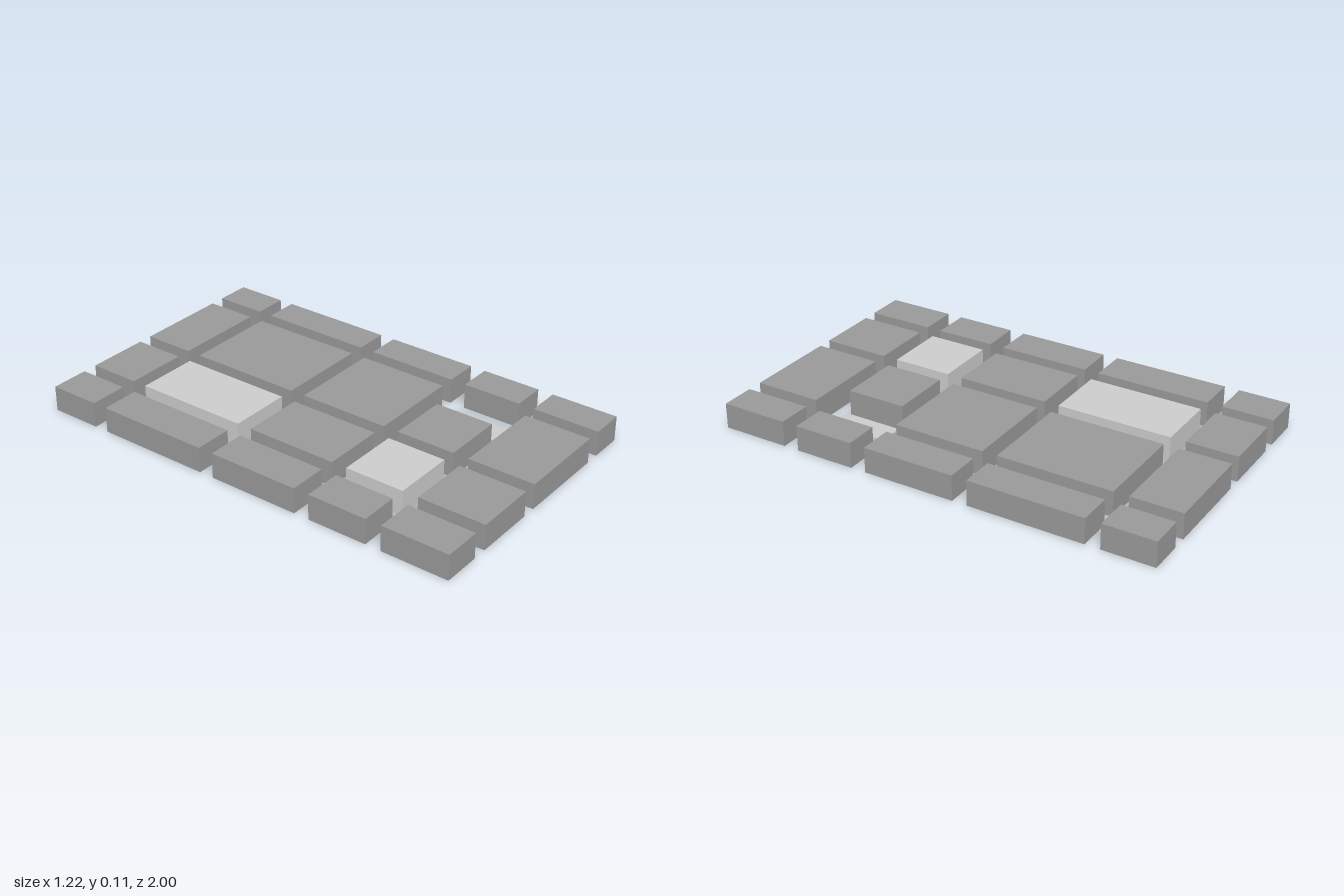
import * as THREE from 'three';

const HEIGHT = 0.113;
const PLATE_HEIGHT = 0.02;

export function createModel() {
  const group = new THREE.Group();
  const dark = new THREE.MeshStandardMaterial({ color: 0x999999 });
  const light = new THREE.MeshStandardMaterial({ color: 0xcccccc });

  // A box standing on the ground, given by its x and z extents
  function addBlock(name, [x0, x1], [z0, z1], material, height = HEIGHT) {
    const block = new THREE.Mesh(new THREE.BoxGeometry(x1 - x0, height, z1 - z0), material);
    block.position.set((x0 + x1) / 2, height / 2, (z0 + z1) / 2);
    block.name = name;
    group.add(block);
  }

  // Columns and rows of city blocks with streets between them
  const columns = [[-0.612, -0.44], [-0.375, -0.094], [-0.031, 0.392], [0.459, 0.612]];
  const rows = [[-1, -0.77], [-0.704, -0.188], [-0.121, 0.292], [0.361, 0.629], [0.699, 1]];

  rows.forEach((z, r) => {
    columns.forEach((x, c) => {
      if (r === 3 && c === 2) {
        // This block is split into a narrower block and a low plate
        addBlock('narrowBlock', [x[0], 0.25], z, dark);
        addBlock('lowPlate', [0.28, x[1]], z, light, PLATE_HEIGHT);
      } else {
        const isLight = c === 1 && (r === 1 || r === 3);
        addBlock(isLight ? 'lightBlock' : 'block', x, z, isLight ? light : dark);
      }
    });
  });

  return group;
}
